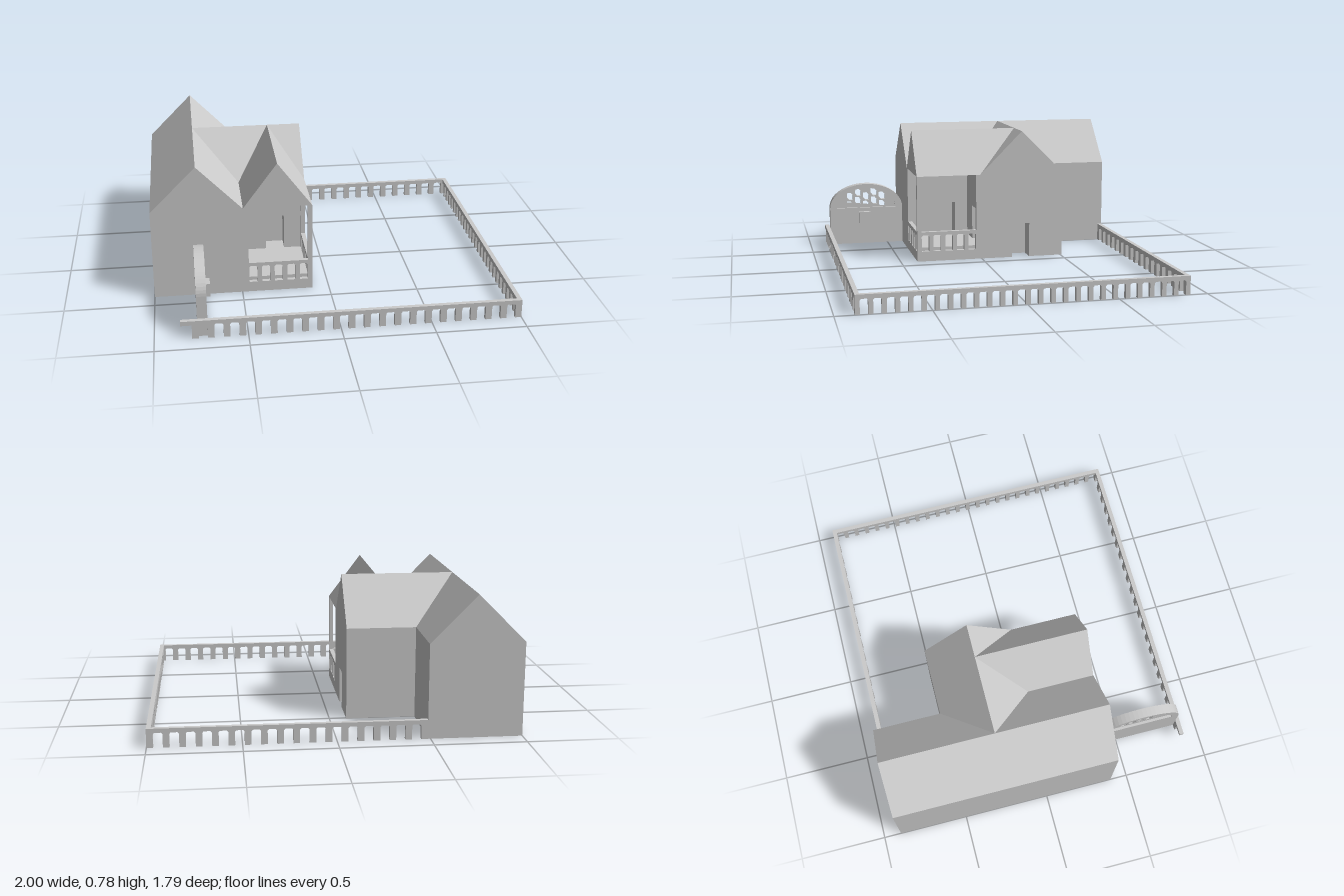
import * as THREE from 'three';

const material = new THREE.MeshStandardMaterial({ color: 0xcccccc, flatShading: true });
const smoothMaterial = new THREE.MeshStandardMaterial({ color: 0xcccccc });

const toPoints = (list) => list.map(([a, b]) => new THREE.Vector2(a, b));
const rect = (a0, b0, a1, b1) => [[a0, b0], [a1, b0], [a1, b1], [a0, b1]];
// Opening with chamfered top corners
const arch = (a0, b0, a1, b1, c = 0.008) =>
  [[a0, b0], [a1, b0], [a1, b1 - c], [a1 - c, b1], [a0 + c, b1], [a0, b1 - c]];

function extrude(outline, holes, depth) {
  const shape = new THREE.Shape(toPoints(outline));
  for (const hole of holes) shape.holes.push(new THREE.Path(toPoints(hole)));
  return new THREE.ExtrudeGeometry(shape, { depth, bevelEnabled: false, steps: 1 });
}

function addMesh(group, name, geometry, mat = material) {
  const mesh = new THREE.Mesh(geometry, mat);
  mesh.name = name;
  group.add(mesh);
  return mesh;
}

// Outline in (x, y), running from z0 to z1
function alongZ(group, name, outline, z0, z1, holes = []) {
  return addMesh(group, name, extrude(outline, holes, z1 - z0).translate(0, 0, z0));
}

// Outline in (z, y), running from x0 to x1
function alongX(group, name, outline, x0, x1, holes = []) {
  return addMesh(group, name, extrude(outline, holes, x1 - x0).rotateY(-Math.PI / 2).translate(x1, 0, 0));
}

function box(group, name, x0, x1, y0, y1, z0, z1) {
  const g = new THREE.BoxGeometry(x1 - x0, y1 - y0, z1 - z0);
  return addMesh(group, name, g.translate((x0 + x1) / 2, (y0 + y1) / 2, (z0 + z1) / 2));
}

// Comb outline: top rail with pickets hanging between arched gaps
function fenceOutline(start, end, first, gaps, picket) {
  const pitch = (end - picket - first) / gaps;
  const points = [[start, 0.105], [start, 0.08], [first, 0.08], [first, 0]];
  for (let i = 0; i < gaps; i++) {
    const a = first + i * pitch + picket, b = first + (i + 1) * pitch;
    points.push([a, 0], [a, 0.074], [a + 0.007, 0.082], [b - 0.007, 0.082], [b, 0.074], [b, 0]);
  }
  points.push([end, 0], [end, 0.105]);
  return points;
}

// Open porch side: base, balustrade and two posts up to the eave
function porchSide(a0, a1) {
  const p = 0.025, pitch = (a1 - a0 - 2 * p + 0.022) / 5;
  const outline = [[a0, 0], [a1, 0], [a1, 0.52], [a1 - p, 0.52], [a1 - p, 0.18],
    [a0 + p, 0.18], [a0 + p, 0.52], [a0, 0.52]];
  const holes = [];
  for (let i = 0; i < 5; i++) {
    const a = a0 + p + 0.002 + i * pitch;
    holes.push(arch(a, 0.06, a + pitch - 0.026, 0.16));
  }
  return [outline, holes];
}

function buildHouse() {
  const house = new THREE.Group();
  house.name = 'house';
  // Long main block, with its inner wall as a panel carrying the porch doorway
  alongZ(house, 'mainBlock', [[-1, 0], [-0.585, 0], [-0.585, 0.52], [-0.485, 0.52], [-0.74, 0.78], [-1, 0.52]], -0.9, 0.4);
  alongX(house, 'mainSideWall', rect(-0.9, 0, 0.4, 0.52), -0.585, -0.485, [rect(0.09, 0.08, 0.3, 0.29)]);

  // Cross wing, whose roof meets the main ridge
  alongX(house, 'wingBlock', [[-0.51, 0], [-0.09, 0], [-0.09, 0.52], [0.01, 0.52], [-0.25, 0.78], [-0.51, 0.52]], -0.74, -0.195);
  alongZ(house, 'wingFrontWall', rect(-0.485, 0, -0.195, 0.52), -0.09, 0.01, [rect(-0.33, 0.08, -0.22, 0.29)]);
  alongX(house, 'wingGableWall', [[-0.51, 0], [-0.3, 0], [-0.3, 0.21], [-0.19, 0.21], [-0.19, 0],
    [0.01, 0], [0.01, 0.52], [-0.25, 0.78], [-0.51, 0.52]], -0.195, -0.095);

  // Porch with gabled roof
  alongZ(house, 'porchRoof', [[-0.485, 0.52], [-0.095, 0.52], [-0.29, 0.78]], -0.25, 0.4);
  const [front, frontHoles] = porchSide(-0.485, -0.095);
  alongZ(house, 'porchFront', front, 0.375, 0.4, frontHoles);
  const [side, sideHoles] = porchSide(0.01, 0.4);
  alongX(house, 'porchSide', side, -0.12, -0.095, sideHoles);
  box(house, 'porchFloor', -0.485, -0.12, 0.06, 0.08, 0.01, 0.375);
  return house;
}

function buildGardenWall() {
  const wall = new THREE.Group();
  wall.name = 'gardenWall';
  const cz = 0.635, base = 0.235, rz = 0.19, ry = 0.13;
  const halfEllipse = (a, b, n = 28) => Array.from({ length: n + 1 }, (_, i) => {
    const t = (i / n) * Math.PI;
    return [cz + a * Math.cos(t), base + b * Math.sin(t)];
  });
  // Wall with arched top and half-oval opening
  alongX(wall, 'archedWall', [[0.4, 0], [0.87, 0], ...halfEllipse(0.235, 0.155)], -0.77, -0.715,
    [halfEllipse(rz, ry)]).material = smoothMaterial;
  wall.children[0].geometry.computeVertexNormals();

  // Lattice of staggered slanted cells, trimmed to the opening
  const holes = [];
  const cell = [[-0.02, -0.024], [0.004, -0.024], [0.02, -0.006], [0.02, 0.024], [-0.004, 0.024], [-0.02, 0.006]];
  const inside = ([z, y]) => ((z - cz) / (rz - 0.004)) ** 2 + ((y - base) / (ry - 0.004)) ** 2;
  for (let col = -3; col <= 3; col++) {
    for (let row = 0; row < 3; row++) {
      const z = cz + col * 0.052, y = base + 0.018 + row * 0.056 + (col % 2 ? 0.026 : 0);
      if (inside([z, y]) > 0.8) continue;
      holes.push(cell.map(([a, b]) => {
        const p = [z + a, Math.max(y + b, base + 0.002)];
        const r = Math.sqrt(inside(p));
        return r > 1 ? [cz + (p[0] - cz) / r, base + (p[1] - base) / r] : p;
      }));
    }
  }
  alongX(wall, 'lattice', halfEllipse(rz, ry), -0.755, -0.73, holes);
  box(wall, 'letterBox', -0.715, -0.69, 0.135, 0.21, 0.61, 0.685);
  return wall;
}

function buildFence() {
  const fence = new THREE.Group();
  fence.name = 'fence';
  alongZ(fence, 'frontFence', fenceOutline(-0.86, 1, -0.8, 21, 0.035), 0.87, 0.895);
  alongZ(fence, 'backFence', fenceOutline(-0.485, 1, -0.485, 17, 0.035), -0.9, -0.875);
  alongX(fence, 'sideFence', fenceOutline(-0.9, 0.895, -0.9, 26, 0.025), 0.975, 1);
  return fence;
}

export function createModel() {
  const model = new THREE.Group();
  model.name = 'cottage';
  model.add(buildHouse(), buildGardenWall(), buildFence());
  return model;
}
